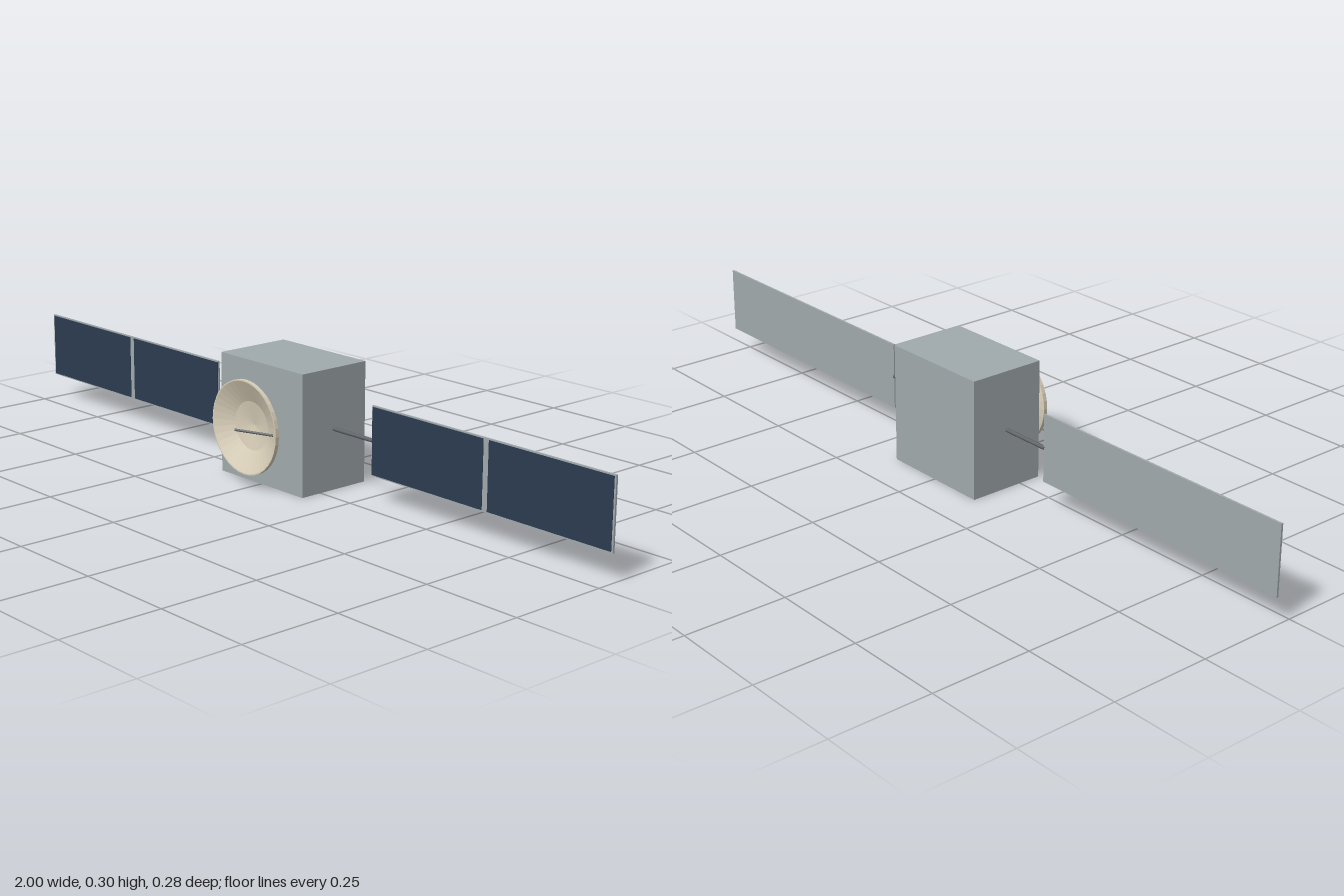
import * as THREE from 'three';

const mat = (name, color, extra = {}) => {
  const m = new THREE.MeshStandardMaterial({ color, ...extra });
  m.name = name;
  return m;
};

export function createModel() {
  const grey = mat('hull grey', 0xa0a9ac);
  const navy = mat('solar cell navy', 0x2c3b50);
  const cream = mat('dish cream', 0xd8ceb8, { flatShading: true });
  const dark = mat('strut grey', 0x606468);

  const model = new THREE.Group();
  model.name = 'satellite';
  const midY = 0.151, panelZ = -0.042;

  const add = (parent, name, geometry, material, x = 0, y = 0, z = 0) => {
    const mesh = new THREE.Mesh(geometry, material);
    mesh.name = name;
    mesh.position.set(x, y, z);
    parent.add(mesh);
    return mesh;
  };
  const rod = (parent, name, a, b, r) => {
    const mesh = add(parent, name, new THREE.CylinderGeometry(r, r, a.distanceTo(b), 12), dark);
    mesh.position.copy(a).lerp(b, 0.5);
    mesh.quaternion.setFromUnitVectors(new THREE.Vector3(0, 1, 0), b.clone().sub(a).normalize());
  };

  // Main body
  add(model, 'body', new THREE.BoxGeometry(0.296, 0.3, 0.2), grey, 0, 0.15, -0.042);

  // Solar wings, one per side
  for (const [side, name] of [[1, 'leftWing'], [-1, 'rightWing']]) {
    const wing = new THREE.Group();
    wing.name = name;
    model.add(wing);
    rod(wing, 'boom', new THREE.Vector3(side * 0.14, midY, panelZ),
      new THREE.Vector3(side * 0.282, midY, panelZ), 0.005);
    add(wing, 'panel', new THREE.BoxGeometry(0.72, 0.17, 0.005), grey, side * 0.64, midY, panelZ);
    for (const cx of [0.456, 0.821]) {
      add(wing, 'solarCells', new THREE.BoxGeometry(0.349, 0.164, 0.001), navy,
        side * cx, midY, panelZ + 0.003);
    }
  }

  // Dish: conical back, short lip and a shallow two-step bowl
  const profile = [
    [0, 0.055], [0.008, 0.058], [0.116, 0.103], [0.116, 0.113],
    [0.113, 0.113], [0.06, 0.088], [0, 0.078],
  ].map(([r, z]) => new THREE.Vector2(r, z));
  const dish = add(model, 'dish', new THREE.LatheGeometry(profile, 36), cream, 0, midY, 0);
  dish.rotation.x = Math.PI / 2;

  // Feed arm reaching from the rim to the focus
  rod(model, 'feedArm', new THREE.Vector3(0.1, midY, 0.104), new THREE.Vector3(0, midY, 0.14), 0.003);

  return model;
}
